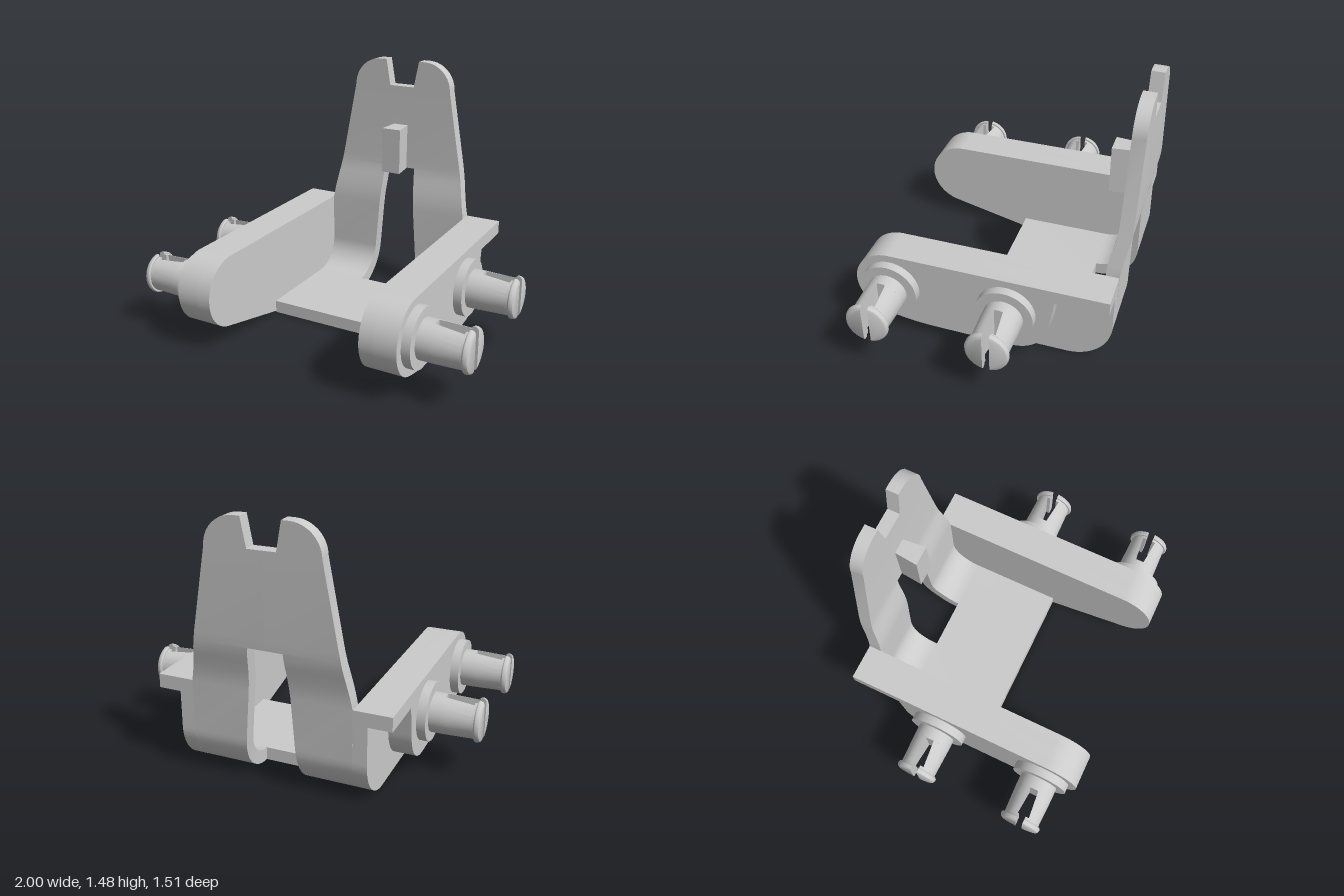
import * as THREE from 'three';
import { toCreasedNormals } from 'three/addons/utils/BufferGeometryUtils.js';

const grey = new THREE.MeshStandardMaterial({ color: 0xcccccc });

function mesh(name, geometry, parent) {
  const m = new THREE.Mesh(geometry, grey);
  m.name = name;
  parent.add(m);
  return m;
}

// Closed skin through rings of [x, y, z] corners, each counter-clockwise about the travel direction
function loft(rings) {
  const pos = [];
  const tri = (...p) => p.forEach((v) => pos.push(...v));
  const n = rings[0].length;
  for (let i = 0; i < rings.length - 1; i++) {
    for (let j = 0; j < n; j++) {
      const k = (j + 1) % n;
      const [a, b, c, d] = [rings[i][j], rings[i][k], rings[i + 1][k], rings[i + 1][j]];
      if ([a, b, c, d].every((v) => v[0] === 0)) continue; // seam between mirrored halves
      tri(a, b, c);
      tri(a, c, d);
    }
  }
  const first = rings[0], last = rings[rings.length - 1];
  for (let j = 1; j < n - 1; j++) {
    tri(first[0], first[j + 1], first[j]);
    tri(last[0], last[j], last[j + 1]);
  }
  const g = new THREE.BufferGeometry();
  g.setAttribute('position', new THREE.Float32BufferAttribute(pos, 3));
  return toCreasedNormals(g, 0.5);
}

// Side outline (z, y) extruded along x from x0 to x1
function sidePlate(shape, x0, x1) {
  const g = new THREE.ExtrudeGeometry(shape, { depth: x1 - x0, bevelEnabled: false, curveSegments: 20 });
  g.rotateY(-Math.PI / 2).translate(x1, 0, 0);
  return toCreasedNormals(g, 0.5);
}

// Common top edge and round nose of the arm, ending at the nose's lower tangent point
function armTop(backY) {
  const s = new THREE.Shape();
  s.moveTo(-0.695, backY);
  s.lineTo(-0.695, 0.54);
  s.lineTo(0.545, 0.54);
  s.absarc(0.545, 0.33, 0.21, Math.PI / 2, -1.326, true);
  return s;
}

function webShape() {
  const s = armTop(0.25);
  s.lineTo(0.08, 0);
  s.lineTo(-0.445, 0);
  s.absarc(-0.445, 0.25, 0.25, -Math.PI / 2, -Math.PI, true);
  return s;
}

function flangeShape() {
  const s = armTop(0.46);
  s.quadraticCurveTo(0.47, 0.088, 0.28, 0.086);
  s.lineTo(-0.15, 0.083);
  s.bezierCurveTo(-0.28, 0.083, -0.36, 0.17, -0.375, 0.29);
  s.lineTo(-0.4, 0.46);
  return s;
}

// Bent back plate with tapering sides, a window and a top notch
function backPlate(parent) {
  const path = [[0.11, 0.0375], [-0.445, 0.0375]];
  for (let i = 1; i <= 12; i++) {
    const a = (i / 12) * Math.PI / 2;
    path.push([-0.445 - 0.2125 * Math.sin(a), 0.25 - 0.2125 * Math.cos(a)]);
  }
  path.push([-0.659, 0.54], [-0.663, 0.6], [-0.673, 0.66], [-0.686, 0.72], [-0.695, 0.76], [-0.7, 0.8], [-0.703, 0.85]);
  const upper = (y) => path.push([-0.703 - 0.01 * (y - 0.85) / 0.63, y]);
  upper(1.31);
  upper(1.32);
  for (let i = 1; i <= 10; i++) upper(1.31 + 0.17 * Math.sin(0.06 + (i / 10) * (Math.PI / 2 - 0.06)));

  const outer = (y) => {
    if (y <= 0.54) return 0.46;
    if (y <= 1.31) return 0.46 - 0.14 * (y - 0.54) / 0.77;
    return 0.15 + Math.sqrt(Math.max(0, 0.17 ** 2 - (y - 1.31) ** 2));
  };
  const windowEdge = (y) => 0.155 - 0.055 * Math.max(0, y - 0.08) / 0.72;
  const notchEdge = (y) => 0.08 + 0.03 * (y - 1.32) / 0.16;

  for (const side of [1, -1]) {
    const rings = [];
    path.forEach(([z, y], i) => {
      const p = path[Math.max(0, i - 1)], q = path[Math.min(path.length - 1, i + 1)];
      const len = Math.hypot(q[0] - p[0], q[1] - p[1]);
      const ny = -(q[0] - p[0]) / len * 0.0375, nz = (q[1] - p[1]) / len * 0.0375;
      // a repeated station makes the straight end of an opening
      let inner = [0];
      if (i === 1) inner = [0, windowEdge(y)];
      else if (y === 0.8) inner = [windowEdge(y), 0];
      else if (i > 1 && y < 0.8) inner = [windowEdge(y)];
      else if (y === 1.32) inner = [0, notchEdge(y)];
      else if (y > 1.32) inner = [notchEdge(y)];
      for (const x of inner) {
        const o = side * outer(y), n = side * x || 0;
        const ring = [[n, y - ny, z - nz], [n, y + ny, z + nz], [o, y + ny, z + nz], [o, y - ny, z - nz]];
        rings.push(side > 0 ? ring : ring.reverse());
      }
    });
    mesh(side > 0 ? 'backPlateLeft' : 'backPlateRight', loft(rings), parent);
  }
}

// Split snap pin pointing along +x
function snapPin() {
  const pin = new THREE.Group();
  pin.name = 'snapPin';
  const cylinder = (name, r, x0, x1) =>
    mesh(name, new THREE.CylinderGeometry(r, r, x1 - x0, 40).rotateZ(-Math.PI / 2).translate((x0 + x1) / 2, 0, 0), pin);
  cylinder('pinCollar', 0.167, 0.66, 0.72);
  cylinder('pinShaft', 0.112, 0.71, 0.79);
  // x, radius and half slot width along each prong
  const stations = [[0.785, 0.112, 0.024], [0.82, 0.111, 0.028], [0.95, 0.107, 0.04], [0.95, 0.107, 0.02],
    [0.965, 0.108, 0.02], [0.965, 0.118, 0.02], [0.972, 0.122, 0.02], [0.982, 0.122, 0.02], [0.994, 0.116, 0.02], [1, 0.104, 0.02]];
  for (const turn of [0, Math.PI]) {
    const rings = stations.map(([x, r, h]) => {
      const a0 = Math.asin(h / r);
      return Array.from({ length: 21 }, (_, i) => {
        const a = a0 + (Math.PI - 2 * a0) * i / 20 + turn;
        return [x, r * Math.cos(a), r * Math.sin(a)];
      });
    });
    mesh('pinProng', loft(rings), pin);
  }
  return pin;
}

export function createModel() {
  const model = new THREE.Group();
  model.name = 'pivotBracket';
  backPlate(model);

  // Tab on the back plate, narrower at its root
  const tab = new THREE.BoxGeometry(0.12, 0.28, 0.15);
  const p = tab.attributes.position;
  for (let i = 0; i < p.count; i++) if (p.getZ(i) < 0) p.setX(i, p.getX(i) * 0.75);
  tab.computeVertexNormals();
  mesh('tab', tab, model).position.set(0, 0.938, -0.605);

  // Side arms with two pins each
  for (const side of [1, -1]) {
    const arm = new THREE.Group();
    arm.name = side > 0 ? 'leftArm' : 'rightArm';
    const span = (a, b) => (side > 0 ? [a, b] : [-b, -a]);
    mesh('armWeb', sidePlate(webShape(), ...span(0.46, 0.54)), arm);
    mesh('armFlange', sidePlate(flangeShape(), ...span(0.54, 0.67)), arm);
    for (const z of [0.54, -0.133]) {
      const pin = snapPin();
      pin.position.set(0, 0.33, z);
      if (side < 0) pin.rotation.y = Math.PI;
      arm.add(pin);
    }
    model.add(arm);
  }
  return model;
}
